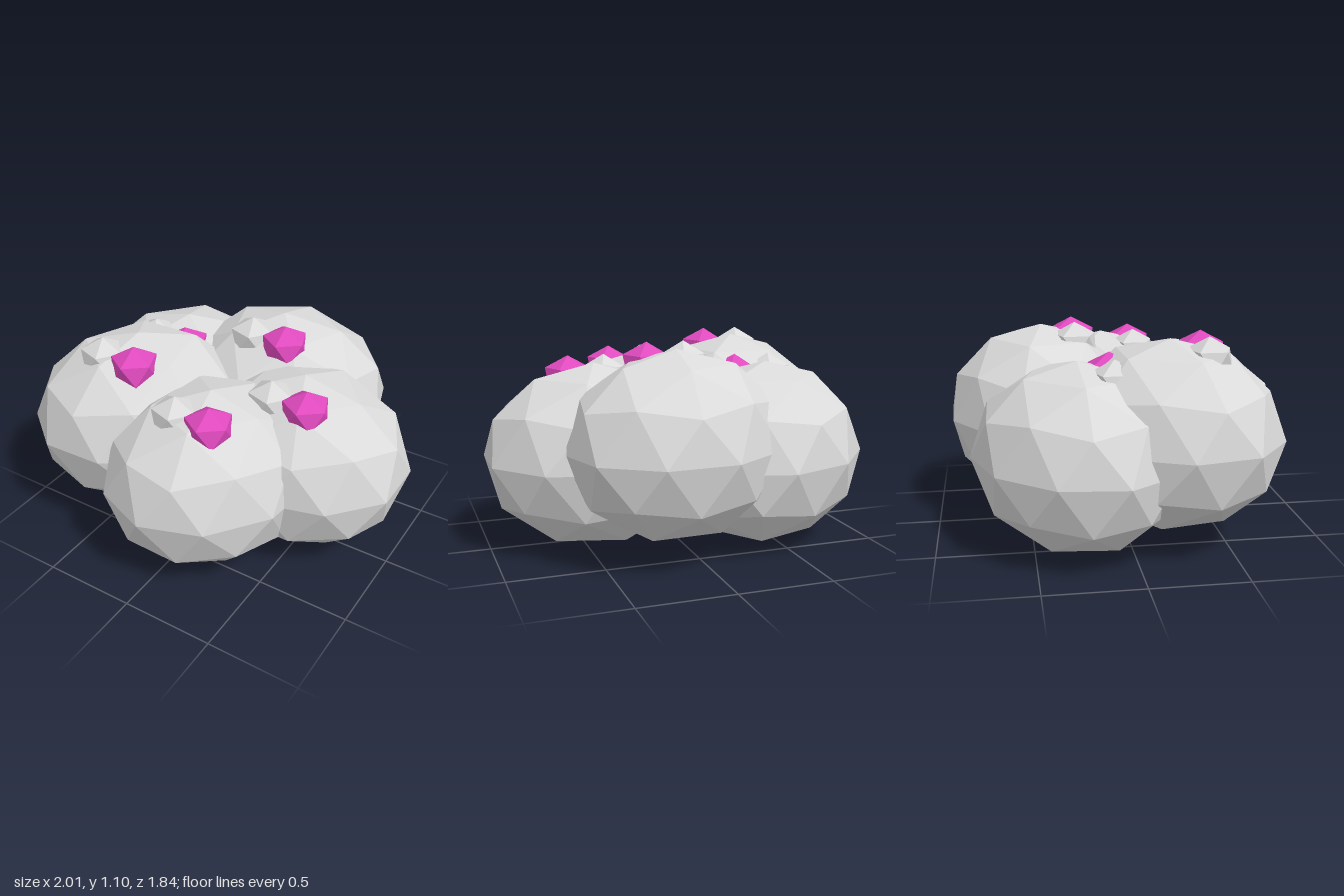
import * as THREE from 'three';

const greyMaterial = new THREE.MeshStandardMaterial({ color: 0xdadada });
greyMaterial.name = 'light grey';
const magentaMaterial = new THREE.MeshStandardMaterial({ color: 0xe04abe });
magentaMaterial.name = 'magenta';

// Faceted icosahedral ball with a corner at each pole and an upper corner towards +x
function facetedBall(detail, rx, ry, rz) {
  const geometry = new THREE.IcosahedronGeometry(1, detail);
  geometry.rotateZ(Math.atan2(2, 1 + Math.sqrt(5)));
  geometry.rotateY(Math.PI);
  geometry.scale(rx, ry, rz);
  geometry.computeVertexNormals(); // unshared corners give flat facets
  return geometry;
}

function part(name, geometry, material, x, y, z, turn = 0) {
  const mesh = new THREE.Mesh(geometry, material);
  mesh.name = name;
  mesh.position.set(x, y, z);
  mesh.rotation.y = turn;
  return mesh;
}

// Centre and turn in radians of each boulder
const boulders = [
  ['right', 0.43, 0.49, -0.04, 0],
  ['back', 0.1, 0.59, -0.41, 0.3],
  ['backLeft', -0.45, 0.49, -0.27, 0.6],
  ['frontLeft', -0.45, 0.59, 0.2, 0.9],
  ['front', 0.1, 0.49, 0.34, 1.2],
];

export function createModel() {
  const model = new THREE.Group();
  model.name = 'boulderCluster';
  const rock = facetedBall(1, 0.6, 0.49, 0.51);
  const paleGem = facetedBall(0, 0.132, 0.117, 0.132);
  const magentaGem = facetedBall(0, 0.137, 0.117, 0.137);

  for (const [name, x, y, z, turn] of boulders) {
    const group = new THREE.Group();
    group.name = name + 'Boulder';
    group.position.set(x, y, z);
    group.add(
      part('rock', rock, greyMaterial, 0, 0, 0, turn),
      // A pair of crystals half buried in the top
      part('paleCrystal', paleGem, greyMaterial, -0.1, 0.395, 0.175),
      part('magentaCrystal', magentaGem, magentaMaterial, 0.1, 0.395, 0.175, -0.26),
    );
    model.add(group);
  }
  return model;
}
